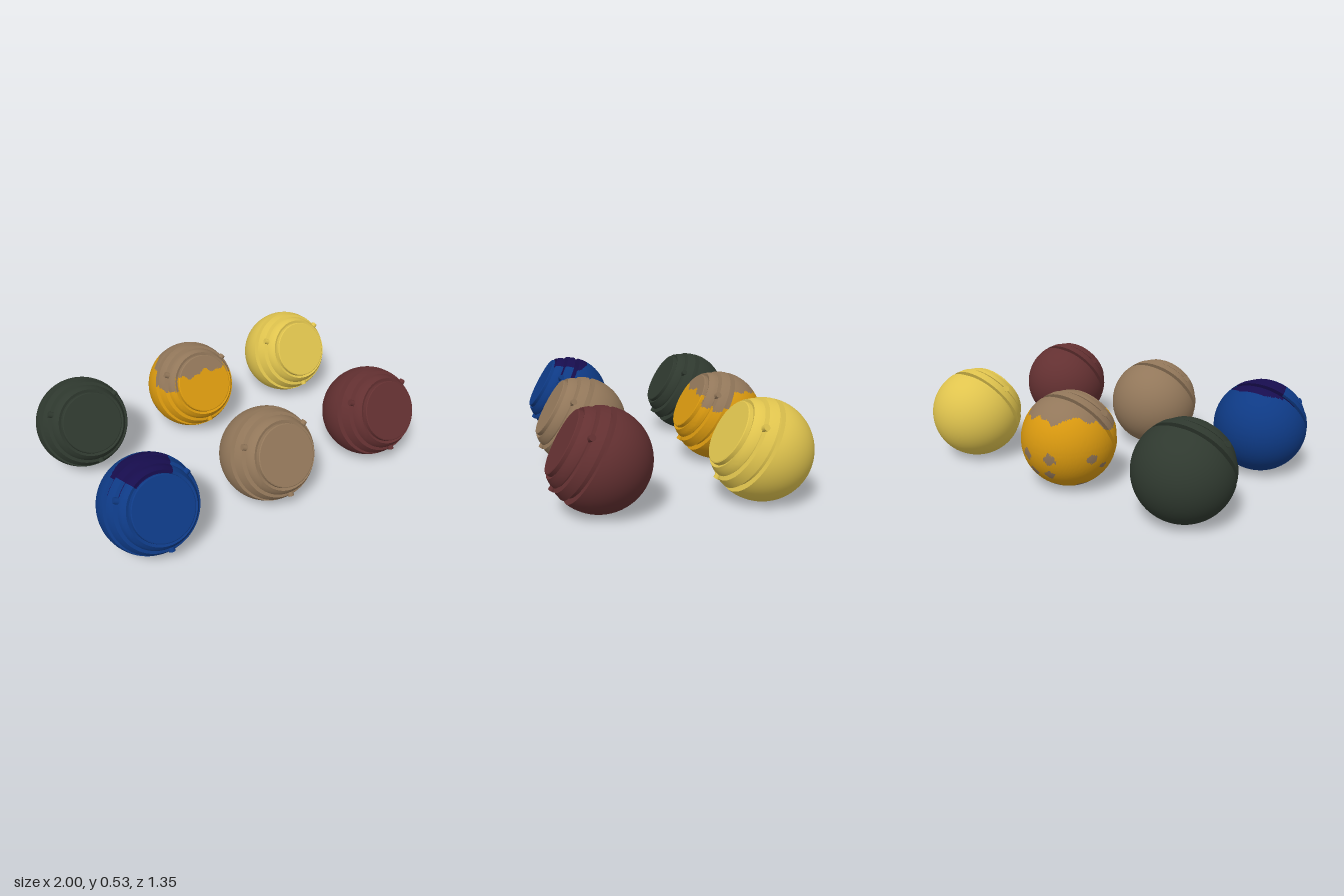
import * as THREE from 'three';
import { toCreasedNormals } from 'three/addons/utils/BufferGeometryUtils.js';

const R = 0.263;          // ball radius
const TILT = Math.PI / 3; // lathe axis leans so the lens faces forward and up

const material = (name, color) => new THREE.MeshStandardMaterial({ name, color });

// Profile (radius, height): round shell, groove, two stepped rings, flat lens
function profile(step) {
  const pts = [];
  const rows = Math.round(R * 1.77 / step);
  for (let i = 0; i <= rows; i++) {
    const t = -Math.PI / 2 + (Math.PI / 2 + 0.2) * i / rows;
    pts.push(new THREE.Vector2(i ? R * Math.cos(t) : 0, R * Math.sin(t)));
  }
  const rings = [
    [0.226, 0.054], [0.226, 0.076], [0.25, 0.08], [0.242, 0.102], [0.231, 0.126],
    [0.204, 0.131], [0.204, 0.138], [0.214, 0.14], [0.207, 0.16], [0.188, 0.186],
    [0.174, 0.181], [0.171, 0.201], [0.166, 0.204], [0, 0.204],
  ];
  for (const [r, h] of rings) {
    const from = pts[pts.length - 1];
    const to = new THREE.Vector2(r, h);
    const n = Math.max(1, Math.round(from.distanceTo(to) / step));
    for (let k = 1; k <= n; k++) pts.push(from.clone().lerp(to, k / n));
  }
  return pts;
}

function shellGeometry(step, segments) {
  const g = new THREE.LatheGeometry(profile(step), segments).rotateX(TILT);
  return toCreasedNormals(g, 0.45);
}

// Sort triangles into base and paint groups by a rule on their centres
function paintFaces(geometry, isPaint) {
  const p = geometry.attributes.position;
  const base = [], paint = [];
  const a = new THREE.Vector3(), b = new THREE.Vector3(), c = new THREE.Vector3();
  for (let i = 0; i < p.count; i += 3) {
    a.fromBufferAttribute(p, i);
    b.fromBufferAttribute(p, i + 1);
    c.fromBufferAttribute(p, i + 2);
    a.add(b).add(c).divideScalar(3);
    (isPaint(a) ? paint : base).push(i, i + 1, i + 2);
  }
  geometry.setIndex(base.concat(paint));
  geometry.addGroup(0, base.length, 0);
  geometry.addGroup(base.length, paint.length, 1);
  return geometry;
}

// Height along the tilted axis and angle from the top of the rings
const along = (p) => p.y * Math.cos(TILT) + p.z * Math.sin(TILT);
const fromTop = (p) => Math.atan2(Math.abs(p.x), p.y * Math.sin(TILT) - p.z * Math.cos(TILT));

// Dark patch over the top of the rings
function topPatch(p) {
  const h = along(p), angle = fromTop(p);
  if (h < 0 || h > 0.188) return false;
  if (h < 0.053) return angle < Math.min(0.65, 0.3 + h * 9);
  const inGroove = h < 0.14 && p.length() < 0.247;
  return angle < (inGroove ? 1.0 : 0.62);
}

// Mirrored worn spots: direction and angular radius
const SPOTS = [
  [0.92, -0.14, -0.37, 0.12], [0.3, -0.13, -0.95, 0.12], [0.93, -0.36, -0.05, 0.07],
  [0.2, -0.51, -0.84, 0.11], [0.4, -0.92, -0.05, 0.23], [0.1, -0.85, -0.52, 0.09],
  [0.09, -0.99, 0.07, 0.09], [0.48, -0.85, -0.21, 0.13],
].map(([x, y, z, size]) => ({ dir: new THREE.Vector3(x, y, z).normalize(), size }));

// Bare cap on top with a wavy edge, plus the worn spots
function wornPaint(p) {
  const h = along(p);
  const wave = 0.012 * Math.sin(p.x * 38 + 1) + 0.007 * Math.sin(p.x * 83 + p.z * 40);
  const edge = h > 0.052 && h < 0.185 ? 0.09 : 0.16;
  if (p.y > edge + wave) return true;
  if (h > 0.05) return false;
  const d = new THREE.Vector3(Math.abs(p.x), p.y, p.z).normalize();
  const ragged = 1 + 0.3 * Math.sin(d.x * 31 + d.z * 17) * Math.cos(d.y * 27 - d.z * 23);
  return SPOTS.some((s) => d.angleTo(s.dir) < s.size * ragged);
}

export function createModel() {
  const model = new THREE.Group();
  model.name = 'sixBalls';

  const blue = material('blue', 0x0e3a85);
  const navy = material('navy', 0x170d4e);
  const tan = material('tan', 0x92775a);
  const red = material('darkRed', 0x633031);
  const green = material('darkGreen', 0x2f392f);
  const orange = material('orange', 0xd8980f);
  const yellow = material('yellow', 0xe0c44e);

  const plainShell = shellGeometry(0.02, 72);
  const lugGeometry = new THREE.CylinderGeometry(0.017, 0.017, 0.05, 16);

  const balls = [
    { name: 'blueBall', x: -1, z: 1, base: blue, paint: navy, rule: topPatch },
    { name: 'tanBall', x: 0, z: 1, base: tan },
    { name: 'redBall', x: 1, z: 1, base: red },
    { name: 'greenBall', x: -1, z: -1, base: green },
    { name: 'wornOrangeBall', x: 0, z: -1, base: orange, paint: tan, rule: wornPaint },
    { name: 'yellowBall', x: 1, z: -1, base: yellow },
  ];

  for (const { name, x, z, base, paint, rule } of balls) {
    const ball = new THREE.Group();
    ball.name = name;
    ball.position.set(x * 0.737, R, z * 0.412);

    const shell = rule
      ? new THREE.Mesh(paintFaces(shellGeometry(0.009, 144), rule), [base, paint])
      : new THREE.Mesh(plainShell, base);
    shell.name = 'shell';
    ball.add(shell);

    // Three small lugs around the ring, one at the bottom
    const lugs = new THREE.Group();
    lugs.name = 'lugs';
    lugs.rotation.x = TILT;
    for (const degrees of [60, 180, 300]) {
      const pivot = new THREE.Group();
      pivot.rotation.y = THREE.MathUtils.degToRad(degrees);
      const lug = new THREE.Mesh(lugGeometry, paint === tan && degrees !== 180 ? tan : base);
      lug.name = 'lug';
      lug.rotation.x = Math.PI / 2;
      lug.position.set(0, 0.132, -0.212);
      pivot.add(lug);
      lugs.add(pivot);
    }
    ball.add(lugs);
    model.add(ball);
  }
  return model;
}
